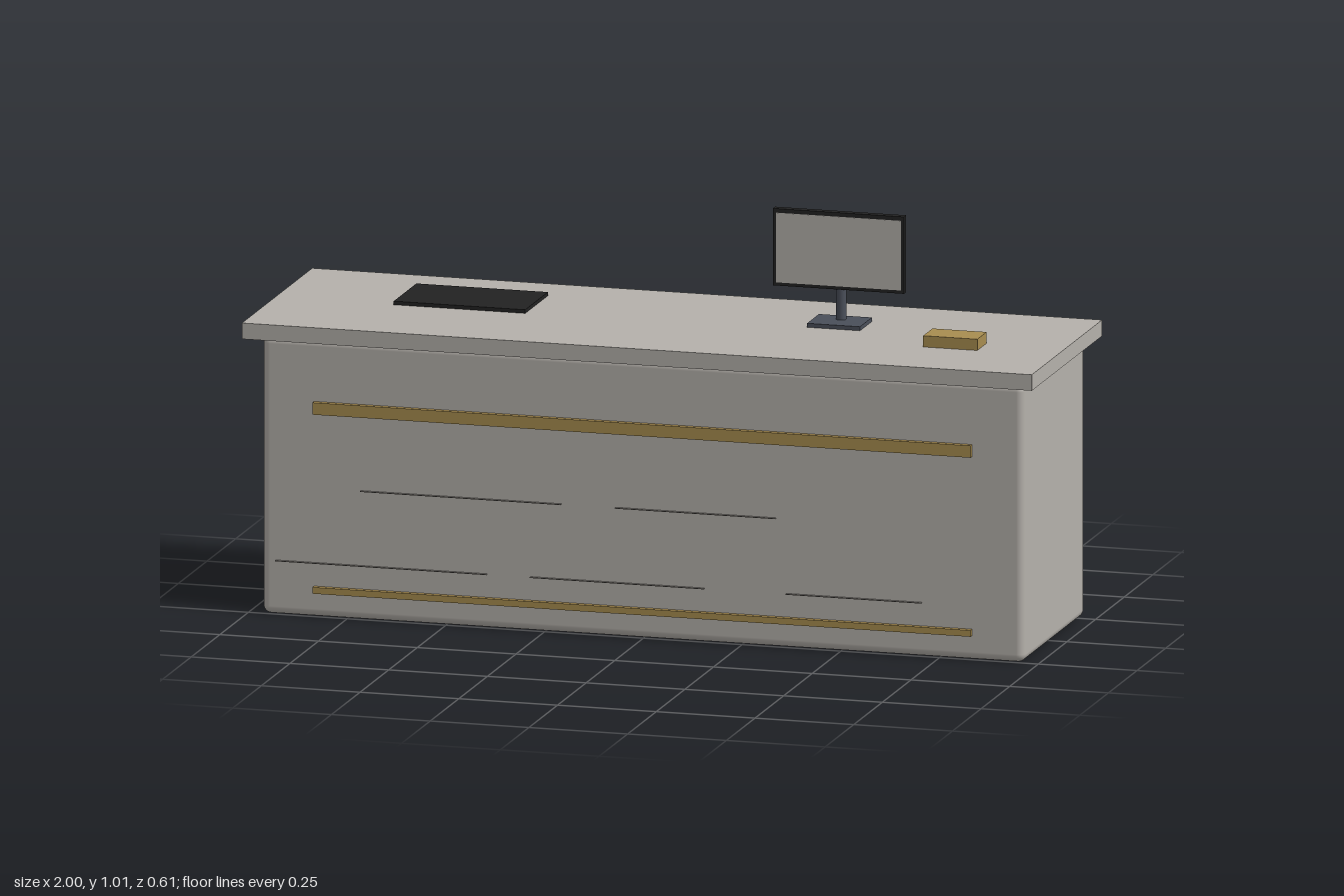
import * as THREE from 'three';
import { RoundedBoxGeometry } from 'three/addons/geometries/RoundedBoxGeometry.js';

const material = (name, color) => {
  const m = new THREE.MeshStandardMaterial({ color });
  m.name = name;
  return m;
};

export function createModel() {
  const group = new THREE.Group();
  const stone = material('stone', 0xb5b1ab);
  const gold = material('gold', 0xa88d50);
  const black = material('black', 0x222222);
  const slate = material('slate', 0x4a4f5a);
  const vein = material('vein', 0x85827c);

  const add = (name, geometry, mat, x, y, z) => {
    const mesh = new THREE.Mesh(geometry, mat);
    mesh.name = name;
    mesh.position.set(x, y, z);
    group.add(mesh);
  };
  // box given by its minimum and maximum on each axis
  const box = (name, mat, [x0, x1], [y0, y1], [z0, z1]) =>
    add(name, new THREE.BoxGeometry(x1 - x0, y1 - y0, z1 - z0), mat,
      (x0 + x1) / 2, (y0 + y1) / 2, (z0 + z1) / 2);

  // counter
  add('counterBody', new RoundedBoxGeometry(1.93, 0.695, 0.532, 4, 0.02), stone, 0, 0.3475, -0.013);
  box('counterTop', stone, [-1, 1], [0.695, 0.735], [-0.307, 0.307]);

  // front trim
  box('upperTrim', gold, [-0.833, 0.833], [0.508, 0.538], [0.24, 0.267]);
  box('lowerTrim', gold, [-0.833, 0.833], [0.061, 0.077], [0.24, 0.267]);

  // thin veins standing out of the front panel
  const veins = [
    [-0.715, -0.207, 0.322], [-0.07, 0.337, 0.322],
    [-0.93, -0.395, 0.135], [-0.285, 0.156, 0.135], [0.363, 0.706, 0.135],
  ];
  for (const [x0, x1, y] of veins) box('vein', vein, [x0, x1], [y - 0.001, y + 0.001], [0.25, 0.26]);

  // monitor on its stand
  box('monitorBase', slate, [0.333, 0.467], [0.735, 0.745], [-0.135, -0.031]);
  add('monitorPole', new THREE.CylinderGeometry(0.0125, 0.0125, 0.165, 16), slate, 0.4, 0.8235, -0.098);
  box('monitorCase', black, [0.233, 0.565], [0.823, 1.015], [-0.097, -0.078]);
  box('monitorScreen', stone, [0.241, 0.557], [0.831, 1.005], [-0.08, -0.077]);

  // things on the top
  box('deskPad', black, [-0.7, -0.367], [0.735, 0.744], [-0.182, 0.016]);
  box('cardBox', gold, [0.663, 0.8], [0.735, 0.763], [0.012, 0.093]);

  return group;
}
